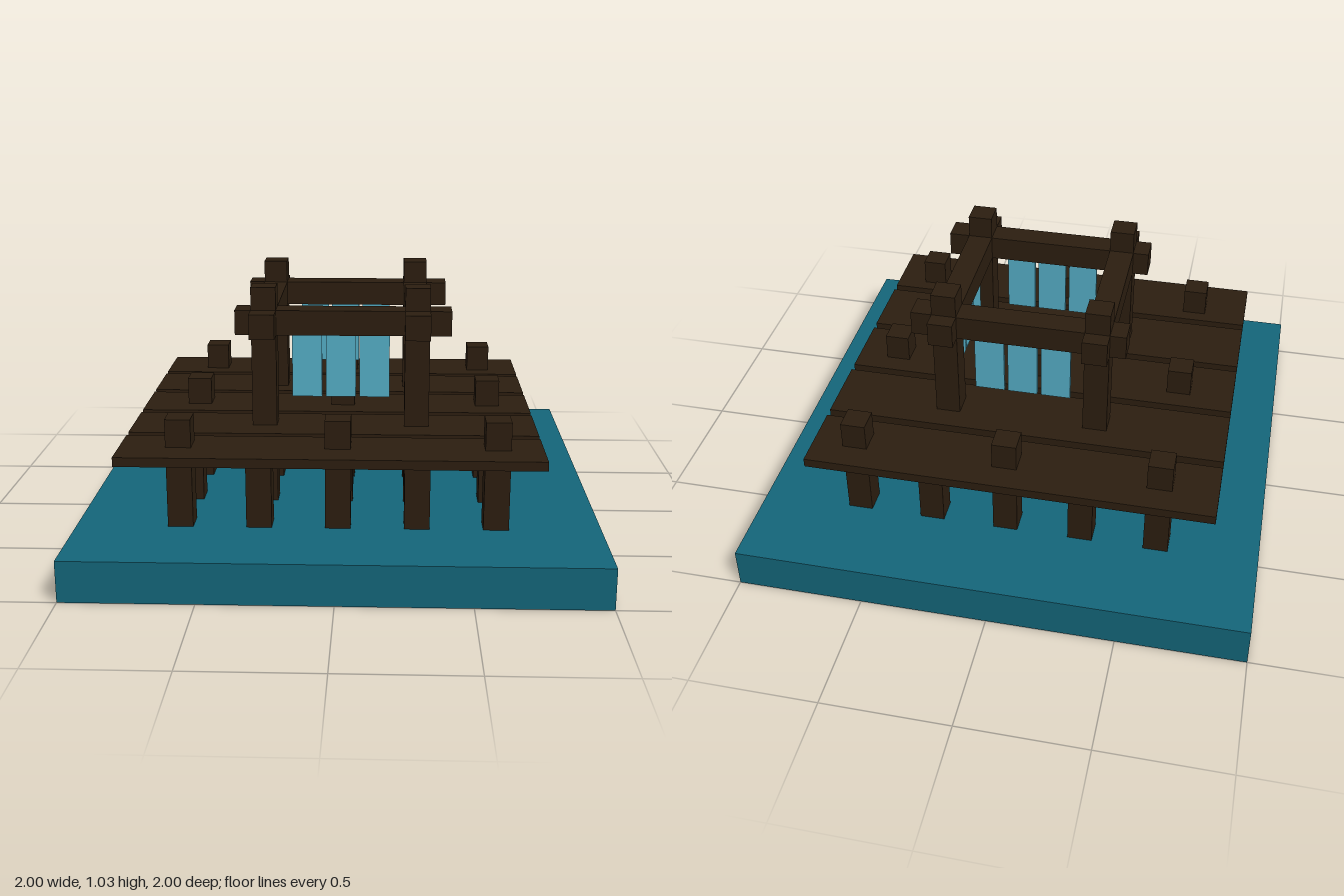
import * as THREE from 'three';

const wood = new THREE.MeshStandardMaterial({ color: 0x2c1e10 });
const water = new THREE.MeshStandardMaterial({ color: 0x14667a });
const cloth = new THREE.MeshStandardMaterial({ color: 0x55aec6 });

// Box given by its centre in x and z, its bottom and top, and its width and depth
function block(parent, name, material, x, z, y0, y1, w, d) {
  const mesh = new THREE.Mesh(new THREE.BoxGeometry(w, y1 - y0, d), material);
  mesh.position.set(x, (y0 + y1) / 2, z);
  mesh.name = name;
  parent.add(mesh);
  return mesh;
}

function namedGroup(parent, name) {
  const group = new THREE.Group();
  group.name = name;
  parent.add(group);
  return group;
}

export function createModel() {
  const model = new THREE.Group();
  model.name = 'pierPavilion';

  // Water slab
  block(model, 'waterBase', water, 0, 0, 0, 0.16, 2, 2);

  // Five by five piles: every second one pokes through the deck,
  // the inner four rise to carry the frame, the rest stop under the deck
  const piles = namedGroup(model, 'piles');
  for (let i = -2; i <= 2; i++) {
    for (let k = -2; k <= 2; k++) {
      const oddX = i % 2 !== 0, oddZ = k % 2 !== 0;
      const top = oddX && oddZ ? 1.03 : !oddX && !oddZ ? 0.585 : 0.45;
      const name = top > 1 ? 'framePost' : top > 0.5 ? 'tallPile' : 'shortPile';
      block(piles, name, wood, i * 0.3, k * 0.3, 0.16, top, 0.097, 0.097);
    }
  }

  // Deck planks
  const deck = namedGroup(model, 'deck');
  for (let k = -2; k <= 2; k++) {
    block(deck, 'plank', wood, -0.026, 0.01 + k * 0.3125, 0.44, 0.476, 1.596, 0.278);
  }

  // Top beams and hanging cloth panels on the four sides
  const frame = namedGroup(model, 'frame');
  const curtains = namedGroup(model, 'curtains');
  for (const s of [-0.3, 0.3]) {
    block(frame, 'crossBeam', wood, 0.01, s, 0.842, 0.94, 0.844, 0.098);
    block(frame, 'sideBeam', wood, s, 0.01, 0.842, 0.94, 0.098, 0.844);
    for (let j = -1; j <= 1; j++) {
      const p = j * 0.133;
      block(curtains, 'clothPanel', cloth, p, s, 0.585, 0.842, 0.118, 0.015);
      block(curtains, 'clothPanel', cloth, s, p, 0.585, 0.842, 0.015, 0.118);
    }
  }

  return model;
}
